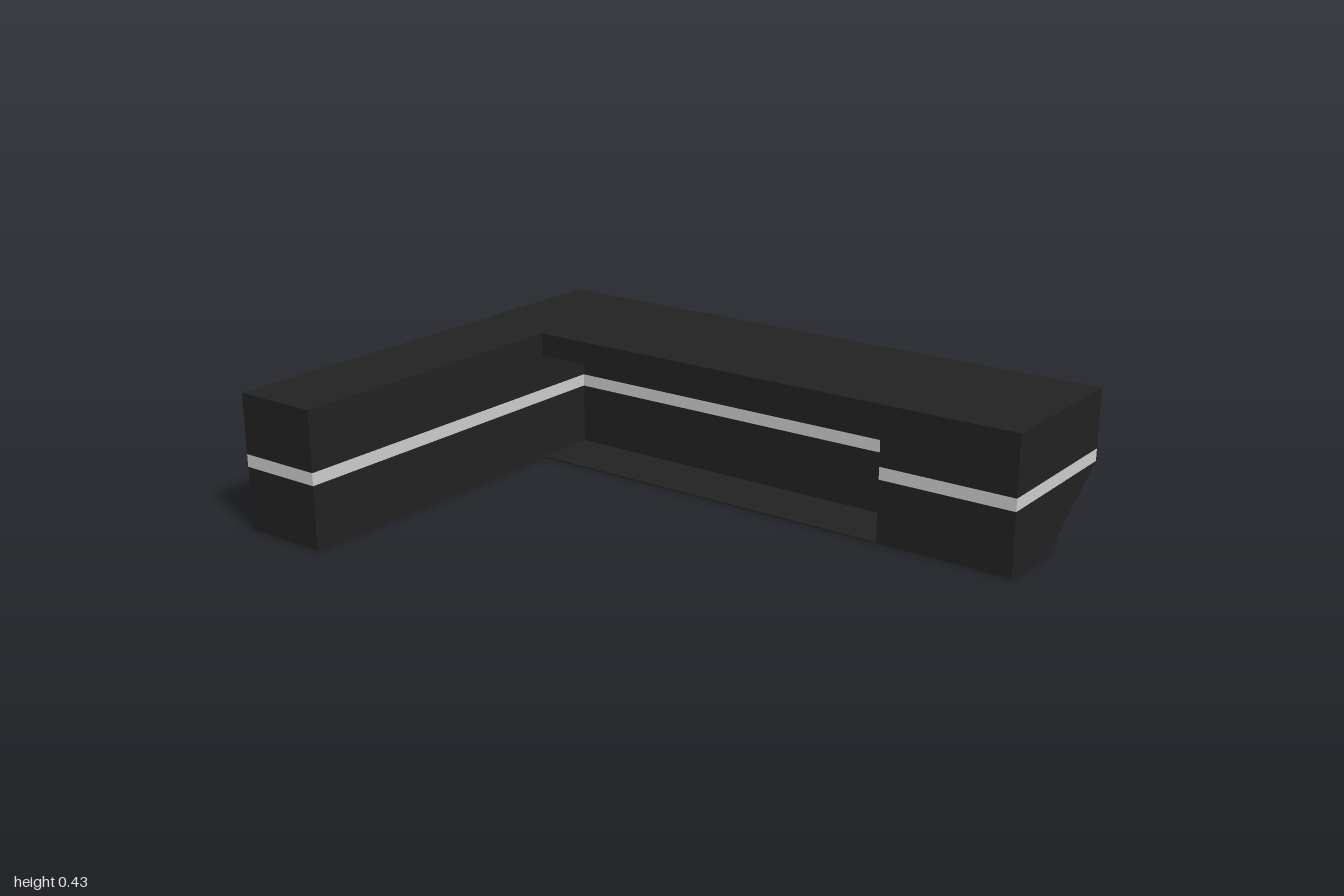
import * as THREE from 'three';

export function createModel() {
  const group = new THREE.Group();
  const charcoal = new THREE.MeshStandardMaterial({ color: 0x222222 });
  const paleTrim = new THREE.MeshStandardMaterial({ color: 0xcfcfcf });

  const BACK = -0.775, FRONT = 0.775, BAR_FRONT = -0.245;
  const WING = -0.72, BLOCK = 0.56, RECESS = -0.455;

  // Plan outlines as [x, z]: plain L, and L with the knee recess cut out
  const back = [[1, BAR_FRONT], [1, BACK], [-1, BACK], [-1, FRONT], [WING, FRONT]];
  const plainPlan = [...back, [WING, BAR_FRONT]];
  const recessedPlan = [...back, [WING, RECESS], [BLOCK, RECESS], [BLOCK, BAR_FRONT]];

  // One horizontal layer of the counter between two heights
  function layer(name, plan, y0, y1, material) {
    const shape = new THREE.Shape(plan.map(([x, z]) => new THREE.Vector2(x, -z)));
    const geometry = new THREE.ExtrudeGeometry(shape, { depth: y1 - y0, bevelEnabled: false });
    geometry.rotateX(-Math.PI / 2).translate(0, y0, 0);
    const mesh = new THREE.Mesh(geometry, material);
    mesh.name = name;
    group.add(mesh);
    return mesh;
  }

  const base = layer('lowerBody', recessedPlan, 0, 0.2, charcoal);
  layer('trimStripe', recessedPlan, 0.2, 0.24, paleTrim);
  layer('upperBody', recessedPlan, 0.24, 0.355, charcoal);
  layer('counterTop', plainPlan, 0.355, 0.43, charcoal);

  // Slope the back of the lower body inward towards the ground
  const p = base.geometry.attributes.position;
  for (let i = 0; i < p.count; i++) {
    if (p.getY(i) < 0.01 && p.getZ(i) < -0.7) p.setZ(i, -0.49);
  }
  base.geometry.computeVertexNormals();

  // Thin floor closing the bottom of the recess
  const floor = new THREE.Mesh(
    new THREE.BoxGeometry(BLOCK - WING, 0.004, BAR_FRONT - RECESS), charcoal);
  floor.position.set((BLOCK + WING) / 2, 0.002, (BAR_FRONT + RECESS) / 2);
  floor.name = 'recessFloor';
  group.add(floor);

  return group;
}
